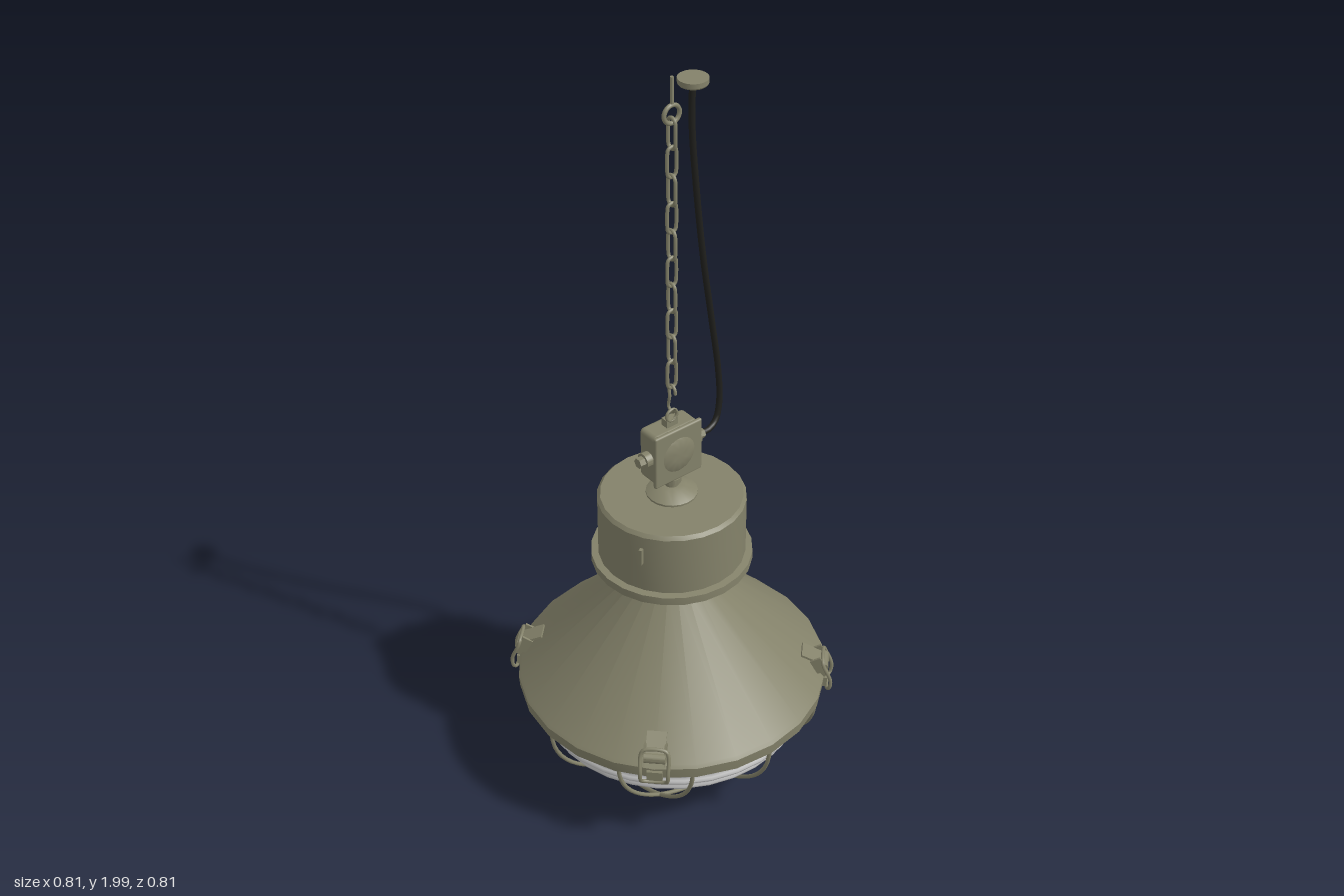
import * as THREE from 'three';
import { toCreasedNormals } from 'three/addons/utils/BufferGeometryUtils.js';
import { RoundedBoxGeometry } from 'three/addons/geometries/RoundedBoxGeometry.js';

const mat = (name, color, side = THREE.FrontSide) => {
  const m = new THREE.MeshStandardMaterial({ color, side });
  m.name = name;
  return m;
};

export function createModel() {
  const olive = mat('olive paint', 0x84826a, THREE.DoubleSide);
  const black = mat('black rubber', 0x20201d);
  const glass = mat('pale glass', 0xcacaca, THREE.DoubleSide);

  const model = new THREE.Group();
  model.name = 'pendantLamp';

  const add = (name, geo, material = olive, pos = [0, 0, 0], rot = [0, 0, 0], parent = model) => {
    const m = new THREE.Mesh(geo, material);
    m.name = name;
    m.position.set(...pos);
    m.rotation.set(...rot);
    parent.add(m);
    return m;
  };
  // Profiles run from bottom to top as [radius, y]
  const lathe = (pts, seg = 24) => toCreasedNormals(
    new THREE.LatheGeometry(pts.map(p => new THREE.Vector2(...p)), seg), 0.5);
  const tube = (pts, r, seg = 32, closed = false, sides = 8) => new THREE.TubeGeometry(
    new THREE.CatmullRomCurve3(pts.map(p => new THREE.Vector3(...p)), closed, 'centripetal'),
    seg, r, sides, closed);
  const cyl = (r1, r2, h, n = 20) => toCreasedNormals(new THREE.CylinderGeometry(r1, r2, h, n), 0.6);

  // Conical shade with folded rim and neck
  add('shade', lathe([
    [0.35, 0.285], [0.36, 0.27], [0.403, 0.27], [0.405, 0.3], [0.398, 0.308],
    [0.097, 0.615], [0.094, 0.625], [0.094, 0.68],
  ]));

  // Gear housing, with stepped rings underneath
  add('housing', lathe([
    [0.09, 0.69], [0.115, 0.69], [0.115, 0.677], [0.135, 0.677], [0.135, 0.69],
    [0.155, 0.69], [0.155, 0.677], [0.175, 0.677], [0.175, 0.69], [0.19, 0.69],
    [0.19, 0.668], [0.205, 0.668], [0.205, 0.69], [0.187, 0.692],
    [0.187, 0.856], [0.179, 0.865], [0, 0.865],
  ]));
  add('housingTab', new THREE.BoxGeometry(0.008, 0.045, 0.02), olive,
    [-0.165, 0.8, 0.088], [0, -1.08, 0]);
  add('stem', lathe([
    [0.065, 0.864], [0.065, 0.87], [0.035, 0.888], [0.018, 0.89],
    [0.018, 0.9], [0.024, 0.9], [0.024, 0.915], [0.015, 0.915], [0.015, 0.935],
  ], 20));

  // Ribbed glass bowl: ripples fade out below the rim
  const bowl = [];
  for (let i = 0; i <= 60; i++) {
    const a = (1 - i / 60) * Math.PI / 2;
    const y = 0.275 - 0.247 * Math.sin(a);
    const ripple = y > 0.16 ? 0.006 * Math.sin((y - 0.16) * 2 * Math.PI / 0.038) : 0;
    bowl.push([Math.max(0, 0.372 * Math.cos(a) + ripple), y]);
  }
  add('glassBowl', new THREE.LatheGeometry(bowl.map(p => new THREE.Vector2(...p)), 32), glass);

  // Wire guard: three arcs each way on an ellipsoid
  const guard = new THREE.Group();
  guard.name = 'wireGuard';
  model.add(guard);
  for (const turn of [0, Math.PI / 2]) {
    for (const d of [-0.205, 0, 0.205]) {
      const L = Math.sqrt(0.395 ** 2 - d * d), pts = [];
      for (let i = 0; i <= 20; i++) {
        const a = Math.PI * i / 20;
        pts.push([L * Math.cos(a), 0.275 - 0.264 * (L / 0.395) * Math.sin(a), d]);
      }
      add('guardWire', tube(pts, 0.0055, 40), olive, [0, 0, 0], [0, turn, 0], guard);
    }
  }

  // Four toggle latches around the rim, local +z pointing outwards
  for (let i = 0; i < 4; i++) {
    const latch = new THREE.Group();
    latch.name = 'latch';
    latch.rotation.y = Math.PI / 4 + i * Math.PI / 2;
    model.add(latch);
    add('latchBase', new THREE.BoxGeometry(0.05, 0.04, 0.012), olive,
      [0, 0.322, 0.394], [-0.75, 0, 0], latch);
    add('latchRoll', cyl(0.014, 0.014, 0.054, 14), olive,
      [0, 0.335, 0.399], [0, 0, Math.PI / 2], latch);
    add('latchLever', new THREE.BoxGeometry(0.05, 0.006, 0.065), olive,
      [0, 0.357, 0.371], [0.42, 0, 0], latch);
    for (const s of [-1, 1]) {
      add('latchCheek', new THREE.BoxGeometry(0.006, 0.045, 0.03), olive,
        [s * 0.026, 0.342, 0.388], [-0.5, 0, 0], latch);
    }
    add('latchBail', tube([
      [-0.035, 0.345, 0.402], [-0.035, 0.3, 0.42], [-0.033, 0.272, 0.418],
      [-0.025, 0.265, 0.412], [0.025, 0.265, 0.412], [0.033, 0.272, 0.418],
      [0.035, 0.3, 0.42], [0.035, 0.345, 0.402], [0.028, 0.358, 0.398],
      [-0.028, 0.358, 0.398],
    ], 0.005, 48, true), olive, [0, 0, 0], [0, 0, 0], latch);
    add('latchCatch', new THREE.BoxGeometry(0.04, 0.03, 0.018), olive,
      [0, 0.28, 0.402], [0, 0, 0], latch);
  }

  // Junction box with cover, boss and cable glands
  const box = new THREE.Group();
  box.name = 'junctionBox';
  model.add(box);
  add('boxBody', new RoundedBoxGeometry(0.136, 0.142, 0.066, 2, 0.012), olive,
    [0, 0.996, -0.011], [0, 0, 0], box);
  add('boxCover', new RoundedBoxGeometry(0.146, 0.15, 0.012, 2, 0.005), olive,
    [0, 0.996, 0.023], [0, 0, 0], box);
  add('coverBoss', lathe([[0.05, 0], [0.043, 0.004], [0.02, 0.007], [0, 0.008]]), olive,
    [0, 0.996, 0.028], [Math.PI / 2, 0, 0], box);
  for (const s of [-1, 1]) {
    add('glandCollar', cyl(0.02, 0.02, 0.02), olive,
      [s * 0.076, 0.996, -0.005], [0, 0, Math.PI / 2], box);
    add('glandNut', cyl(0.014, 0.014, 0.028, 6), olive,
      [s * 0.088, 0.996, -0.005], [0, 0, Math.PI / 2], box);
  }
  add('topLug', new THREE.BoxGeometry(0.034, 0.026, 0.022), olive, [0, 1.074, -0.008], [0, 0, 0], box);
  add('topEye', new THREE.TorusGeometry(0.016, 0.004, 8, 20), olive, [0, 1.098, 0], [0, 0, 0], box);

  // Chain of alternating links, ending in an open hook
  const chain = new THREE.Group();
  chain.name = 'chain';
  model.add(chain);
  const link = [];
  for (let i = 0; i < 16; i++) {
    const a = (i + 0.5) * Math.PI / 8;
    link.push([0.0125 * Math.cos(a), Math.sign(Math.sin(a)) * 0.026 + 0.0125 * Math.sin(a), 0]);
  }
  const linkGeo = tube(link, 0.0045, 40, true);
  for (let i = 0; i < 10; i++) {
    add('chainLink', linkGeo, olive, [0, 1.862 - i * 0.0715, 0], [0, i % 2 ? 0 : Math.PI / 2, 0], chain);
  }
  add('chainHook', tube([
    [0, 1.165, 0.014], [0, 1.178, 0.012], [0, 1.186, 0], [0, 1.178, -0.01],
    [0, 1.15, -0.008], [0, 1.118, -0.012], [0, 1.107, 0], [0, 1.118, 0.012],
  ], 0.004, 32), olive, [0, 0, 0], [0, 0, 0], chain);

  // Ceiling eye hook
  add('ceilingEye', new THREE.TorusGeometry(0.022, 0.0055, 8, 24), olive, [0, 1.909, 0]);
  add('ceilingRod', cyl(0.0045, 0.0045, 0.07, 10), olive, [0, 1.965, 0]);

  // Ceiling cap and hanging cable
  add('ceilingCap', lathe([[0, 1.955], [0.014, 1.955], [0.016, 1.962], [0.033, 1.964],
    [0.036, 1.968], [0.036, 1.98], [0, 1.98]]), olive, [0.06, 0, 0]);
  add('cable', tube([
    [0.058, 1.96, 0], [0.058, 1.86, 0], [0.073, 1.7, -0.002], [0.1, 1.5, -0.007],
    [0.132, 1.32, -0.013], [0.16, 1.15, -0.017], [0.164, 1.06, -0.016],
    [0.15, 1.01, -0.012], [0.125, 0.996, -0.007], [0.09, 0.996, -0.005],
  ], 0.008, 64, false, 10), black);

  return model;
}
